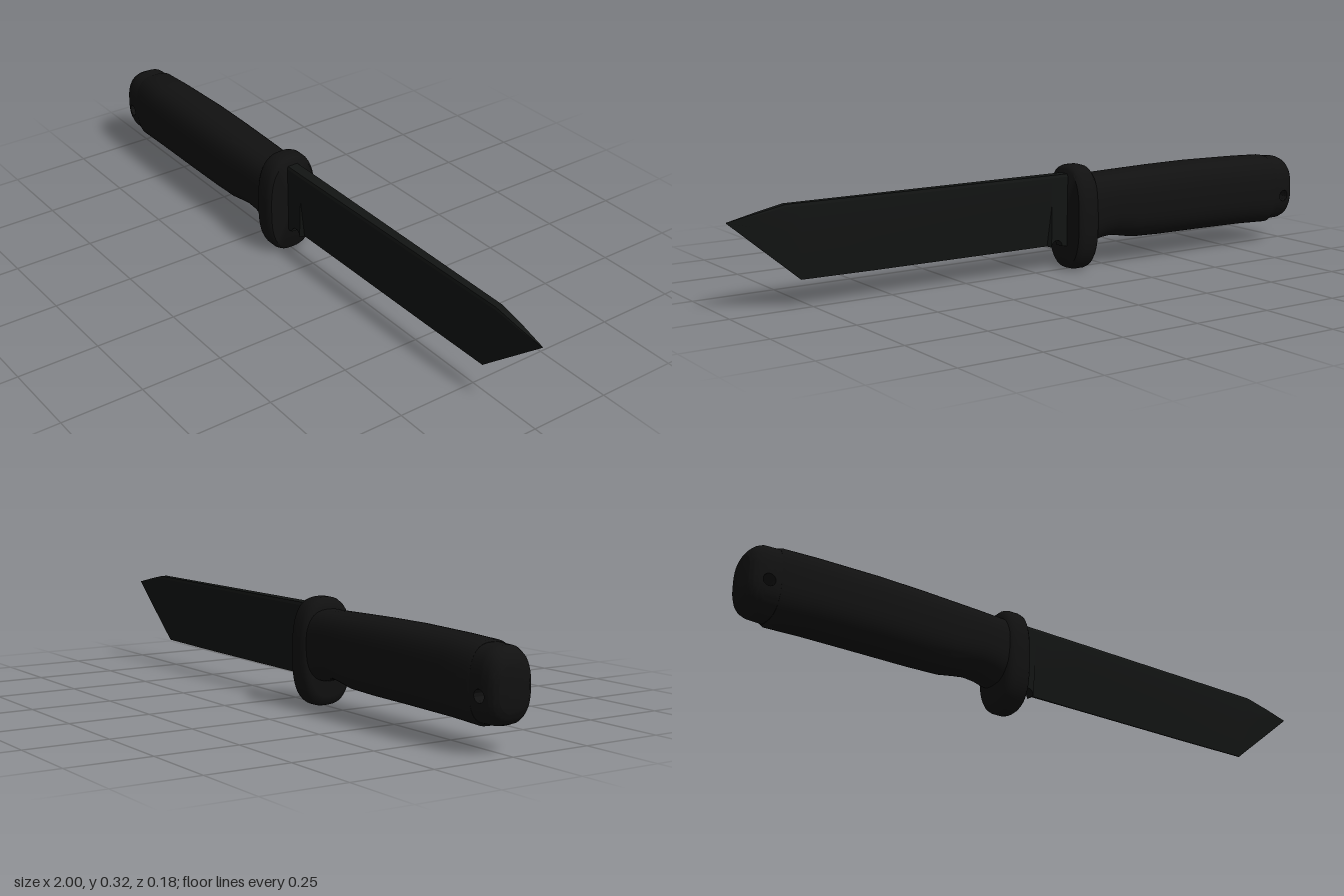
import * as THREE from 'three';
import { toCreasedNormals } from 'three/addons/utils/BufferGeometryUtils.js';

const N = 2.7; // squareness of the oval grip sections

// Skin a list of equal-length rings; either capped at both ends or closed into a band.
function loft(rings, crease, closed = false) {
  const n = rings[0].length, pos = rings.flat().flatMap(p => [p.x, p.y, p.z]), idx = [];
  const count = closed ? rings.length : rings.length - 1;
  for (let i = 0; i < count; i++) {
    const a = i * n, b = ((i + 1) % rings.length) * n;
    for (let j = 0; j < n; j++) {
      const k = (j + 1) % n;
      idx.push(a + j, a + k, b + j, a + k, b + k, b + j);
    }
  }
  if (!closed) {
    [0, rings.length - 1].forEach((r, end) => {
      const c = new THREE.Vector3();
      rings[r].forEach(p => c.addScaledVector(p, 1 / n));
      const ci = pos.length / 3;
      pos.push(c.x, c.y, c.z);
      for (let j = 0; j < n; j++) {
        const a = r * n + j, b = r * n + (j + 1) % n;
        idx.push(ci, end ? a : b, end ? b : a);
      }
    });
  }
  const g = new THREE.BufferGeometry();
  g.setAttribute('position', new THREE.Float32BufferAttribute(pos, 3));
  g.setIndex(idx);
  return toCreasedNormals(g, crease);
}

// Squared oval across x, from bottom to top with half width w.
function oval(x, bottom, top, w, n = 48) {
  return Array.from({ length: n }, (_, j) => {
    const a = j / n * Math.PI * 2, c = Math.cos(a), s = Math.sin(a);
    const y = Math.sign(c) * Math.abs(c) ** (2 / N), z = Math.sign(s) * Math.abs(s) ** (2 / N);
    return new THREE.Vector3(x, (top + bottom) / 2 + y * (top - bottom) / 2, z * w);
  });
}

// Linear lookup in a table of rows that start with x.
function sample(rows, x) {
  let i = 0;
  while (i < rows.length - 2 && x > rows[i + 1][0]) i++;
  const t = (x - rows[i][0]) / (rows[i + 1][0] - rows[i][0]);
  return rows[i].map((v, k) => v + (rows[i + 1][k] - v) * t);
}

// Pommel: rings spread from the lanyard hole to the outline, on both sides.
function pommelGeometry() {
  const rows = [[-1, 0.11, 0.24, 0.05], [-0.992, 0.092, 0.257, 0.061], [-0.98, 0.08, 0.27, 0.069],
    [-0.96, 0.073, 0.28, 0.074], [-0.89, 0.071, 0.283, 0.077]];
  const hx = -0.95, hy = 0.155, hr = 0.018, n = 80, steps = 12;
  const inside = (x, y) => {
    if (x < -1 || x > -0.89) return false;
    const [, b, t] = sample(rows, x);
    return y > b && y < t;
  };
  const reach = Array.from({ length: n }, (_, j) => {
    const a = j / n * Math.PI * 2;
    let lo = 0, hi = 0.3;
    for (let k = 0; k < 30; k++) {
      const m = (lo + hi) / 2;
      if (inside(hx + m * Math.cos(a), hy + m * Math.sin(a))) lo = m; else hi = m;
    }
    return lo;
  });
  const ring = (s, side) => reach.map((r, j) => {
    const a = j / n * Math.PI * 2, d = hr + (r - hr) * (1 - (1 - s) ** 2);
    const x = hx + d * Math.cos(a), y = hy + d * Math.sin(a);
    const [, b, t, w] = sample(rows, x);
    const v = Math.min(1, Math.abs((2 * y - t - b) / (t - b)));
    return new THREE.Vector3(x, y, side * w * (1 - v ** N) ** (1 / N));
  });
  const rings = [];
  for (let i = 0; i <= steps; i++) rings.push(ring(i / steps, -1));
  for (let i = steps; i >= 0; i--) rings.push(ring(i / steps, 1));
  return loft(rings, 0.8, true);
}

// Blade: six-cornered sections with a flat spine, a grind line and a thin edge.
function bladeGeometry() {
  const section = (x, top, grind, edge, half, edgeHalf) => [
    [top, half * 0.85], [top - (top - grind) * 0.1, half], [grind, half * 0.9], [edge, edgeHalf],
    [edge, -edgeHalf], [grind, -half * 0.9], [top - (top - grind) * 0.1, -half], [top, -half * 0.85],
  ].map(([y, z]) => new THREE.Vector3(x, y, z));
  const rings = [section(-0.12, 0.297, 0.21, 0.073, 0.02, 0.017)];
  // finger notch in the thick root
  for (let i = 0; i <= 12; i++) {
    const a = Math.PI * (1 - i / 12);
    rings.push(section(-0.068 + 0.02 * Math.cos(a), 0.297, 0.21, 0.075 + 0.02 * Math.sin(a), 0.02, 0.016));
  }
  rings.push(
    section(-0.04, 0.297, 0.21, 0.078, 0.02, 0.003),
    section(0.12, 0.297, 0.21, 0.078, 0.019, 0.002),
    section(0.55, 0.297, 0.21, 0.079, 0.015, 0.002),
    section(0.785, 0.297, 0.21, 0.081, 0.013, 0.002),
    section(0.83, 0.297, 0.222, 0.119, 0.0125, 0.002),
    section(0.92, 0.279, 0.243, 0.194, 0.009, 0.0015),
    section(1, 0.263, 0.262, 0.261, 0.001, 0.0005),
  );
  return loft(rings, 0.2);
}

export function createModel() {
  const group = new THREE.Group();
  const add = (name, geometry, color) => {
    const mesh = new THREE.Mesh(geometry, new THREE.MeshStandardMaterial({ color }));
    mesh.name = name;
    group.add(mesh);
  };

  add('pommel', pommelGeometry(), 0x111111);

  // Grip with a finger swell behind the guard
  const grip = [[-0.915, 0.07, 0.283, 0.076], [-0.905, 0.064, 0.287, 0.079], [-0.8, 0.069, 0.291, 0.083],
    [-0.6, 0.072, 0.295, 0.086], [-0.45, 0.073, 0.294, 0.085], [-0.35, 0.076, 0.292, 0.083],
    [-0.3, 0.085, 0.291, 0.081], [-0.26, 0.091, 0.29, 0.08], [-0.22, 0.087, 0.289, 0.079],
    [-0.19, 0.078, 0.289, 0.079], [-0.14, 0.075, 0.289, 0.079]];
  add('grip', loft(grip.map(r => oval(...r)), 0.7), 0x111111);

  // Guard: a plate with rounded rims
  const guard = [[-0.182, 0.03], [-0.178, 0.014], [-0.168, 0.004], [-0.155, 0], [-0.125, 0],
    [-0.112, 0.004], [-0.105, 0.013]];
  add('guard', loft(guard.map(([x, d]) => oval(x, d, 0.322 - d, 0.088 - d * 0.7)), 0.7), 0x111111);

  add('blade', bladeGeometry(), 0x121413);
  return group;
}
